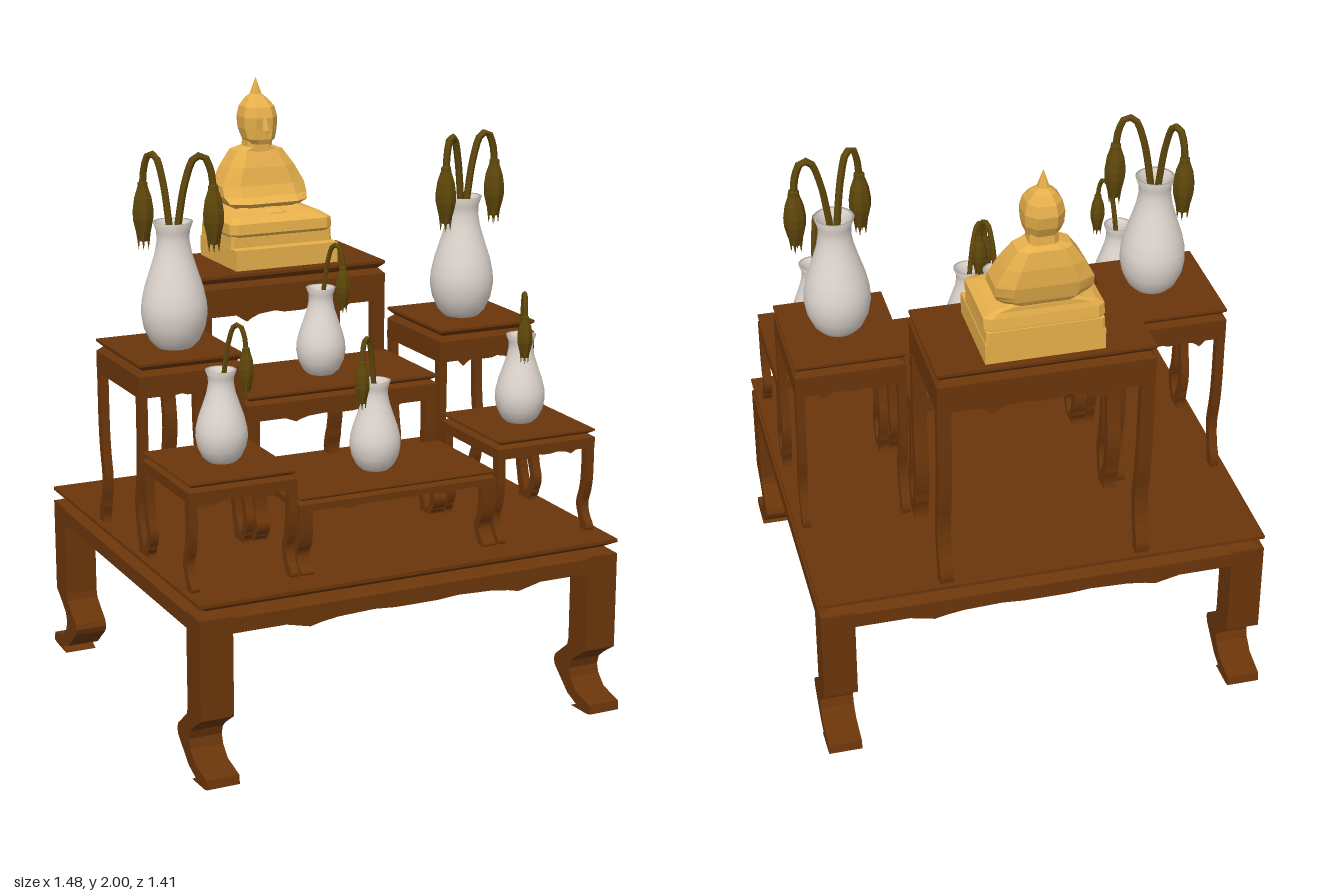
import * as THREE from 'three';

const mat = (color, flat = true, side = THREE.FrontSide) =>
  new THREE.MeshStandardMaterial({ color, flatShading: flat, side });
const WOOD = mat(0x6a350a);
const GOLD = mat(0xe6af4b);
const CHINA = mat(0xded5ce, false, THREE.DoubleSide);
const PLANT = mat(0x5e470a);

function add(parent, name, geo, material, x = 0, y = 0, z = 0) {
  const m = new THREE.Mesh(geo, material);
  m.name = name;
  m.position.set(x, y, z);
  parent.add(m);
  return m;
}

// Extrude a 2D outline, centred on its depth
function slab(points, depth) {
  const s = new THREE.Shape(points.map(([x, y]) => new THREE.Vector2(x, y)));
  const g = new THREE.ExtrudeGeometry(s, { depth, bevelEnabled: false });
  return g.translate(0, 0, -depth / 2);
}

// Box drawn in by t on every side of its lower (end = -1) or upper (end = 1) face
function taperedBox(w, h, d, t, end) {
  const g = new THREE.BoxGeometry(w, h, d);
  const p = g.attributes.position;
  for (let i = 0; i < p.count; i++) {
    if (p.getY(i) * end > 0) {
      p.setX(i, p.getX(i) - Math.sign(p.getX(i)) * t);
      p.setZ(i, p.getZ(i) - Math.sign(p.getZ(i)) * t);
    }
  }
  return g;
}

// Chamfered cross-sections [y, halfWidth, backZ, frontZ] joined upwards
function loft(sections, c = 0.6) {
  const ring = [[1, -c], [1, c], [c, 1], [-c, 1], [-1, c], [-1, -c], [-c, -1], [c, -1]];
  const first = sections[0], last = sections[sections.length - 1];
  const cap = ([y, , b, f]) => [y, 0, (b + f) / 2, (b + f) / 2];
  const pos = [], idx = [];
  const all = [cap(first), ...sections, cap(last)];
  all.forEach(([y, hx, b, f], r) => {
    ring.forEach(([u, v], i) => {
      pos.push(u * hx, y, (b + f) / 2 + v * (f - b) / 2);
      if (r === all.length - 1) return;
      const a = r * 8 + i, e = r * 8 + (i + 1) % 8;
      idx.push(a, a + 8, e, e, a + 8, e + 8);
    });
  });
  const g = new THREE.BufferGeometry();
  g.setAttribute('position', new THREE.Float32BufferAttribute(pos, 3));
  g.setIndex(idx);
  const flat = g.toNonIndexed();
  flat.computeVertexNormals();
  return flat;
}

// Heavy scroll leg: [inset from edge, y]
const HEAVY_LEG = [[0, 0.545], [0, 0.22], [0.06, 0.18], [0.09, 0.155], [0.1, 0.125], [0.09, 0.095], [0.055, 0.06],
  [-0.035, 0.04], [-0.04, 0.01], [-0.02, 0.005], [0.08, 0], [0.05, 0.015], [0.105, 0.035], [0.19, 0.105],
  [0.198, 0.125], [0.19, 0.145], [0.115, 0.205], [0.108, 0.23], [0.108, 0.545]];

// Slender leg of height h, S-curved low down and kicked out at the foot
function slenderLeg(h) {
  const path = [[0.018, 1], [0.02, 0.55], [0.03, 0.4], [0.043, 0.29], [0.04, 0.2], [0.023, 0.1], [0.011, 0.04], [0.014, 0]];
  const pts = new THREE.CatmullRomCurve3(path.map(([o, f]) => new THREE.Vector3(o, f * h, 0))).getPoints(18);
  const half = p => (p.y < h * 0.1 ? 0.02 : 0.016);
  return [...pts.map(p => [p.x - half(p), p.y]), ...pts.reverse().map(p => [p.x + half(p), p.y])];
}

function table(parent, name, { x = 0, z = 0, w, d, y0 = 0, y1, legW, taper = 0.018, waist = 0.02, profile }) {
  const g = new THREE.Group();
  g.name = name;
  g.position.set(x, y0, z);
  parent.add(g);
  // Thin top, pinched waist, then a shoulder flaring out to the apron
  const h = y1 - y0, lip = waist * 0.5, top = h - lip - 2 * waist;
  add(g, 'tabletop', new THREE.BoxGeometry(w, lip, d), WOOD, 0, h - lip / 2, 0);
  add(g, 'cove', taperedBox(w, waist, d, taper, -1), WOOD, 0, h - lip - waist / 2, 0);
  add(g, 'shoulder', taperedBox(w, waist, d, taper, 1), WOOD, 0, top + waist / 2, 0);

  // Scalloped aprons front and back, plain ones at the sides
  const low = h * 0.824, drop = h * 0.032, hw = w / 2, t = legW * 0.4;
  const wave = [[1, 0], [0.61, 0], [0.55, 0.55], [0.5, 1], [0.45, 0.55], [0.37, 0.1], [0.2, -0.15], [0.1, 0.15]];
  const edge = [...wave, ...wave.map(([u, v]) => [-u, v]).reverse()];
  const outline = [[-hw, top], [hw, top], ...edge.map(([u, v]) => [u * hw, low - v * drop])];
  for (const s of [-1, 1]) {
    add(g, 'scallopedApron', slab(outline, t), WOOD, 0, 0, s * (d / 2 - t / 2));
    add(g, 'sideApron', new THREE.BoxGeometry(t, top - low, d), WOOD, s * (hw - t / 2), (top + low) / 2, 0);
  }

  // Four legs, mirrored
  const leg = profile || slenderLeg(top);
  for (const sz of [-1, 1]) {
    const geo = slab(leg.map(([o, y]) => [sz * (d / 2 - o), y]), legW).rotateY(-Math.PI / 2);
    for (const sx of [-1, 1]) add(g, 'leg', geo, WOOD, sx * (w / 2 - legW / 2), 0, 0);
  }
}

// Vase of height scale s and girth scale r, with drooping buds at the given offsets
function vase(parent, x, y, z, s, r, buds) {
  const g = new THREE.Group();
  g.name = 'vase';
  g.position.set(x, y, z);
  parent.add(g);
  const outer = [[0.058, 0], [0.08, 0.022], [0.1, 0.065], [0.108, 0.11], [0.106, 0.15], [0.095, 0.2], [0.077, 0.255],
    [0.06, 0.31], [0.053, 0.35], [0.054, 0.38], [0.065, 0.412]];
  const inner = [[0.054, 0.41], [0.042, 0.37], [0.044, 0.32], [0.06, 0.27], [0, 0.25]];
  const prof = [[0, 0], ...outer, ...inner].map(([u, v]) => new THREE.Vector2(u * r, v * s));
  add(g, 'vaseBody', new THREE.LatheGeometry(prof, 28), CHINA);

  const budProf = [[0, -0.195], [0.016, -0.19], [0.027, -0.155], [0.035, -0.12], [0.036, -0.09], [0.03, -0.05],
    [0.018, -0.015], [0.017, 0], [0, 0.008]].map(([u, v]) => new THREE.Vector2(u * s, v * s));
  for (const [bx, bz] of buds) {
    const path = [[0, 0.26], [0.15, 0.42], [0.32, 0.54], [0.55, 0.615], [0.77, 0.62], [0.94, 0.575], [1, 0.515]]
      .map(([f, v]) => new THREE.Vector3(bx * f, v * s, bz * f));
    add(g, 'stem', new THREE.TubeGeometry(new THREE.CatmullRomCurve3(path), 20, 0.012 * s, 6), PLANT);
    add(g, 'bud', new THREE.LatheGeometry(budProf, 8), PLANT, bx, 0.525 * s, bz);
    // Pointed sepals around the tip
    for (let i = 0; i < 4; i++) {
      const a = i * Math.PI / 2 + 0.4;
      const cone = new THREE.ConeGeometry(0.013 * s, 0.09 * s, 4).rotateX(Math.PI);
      add(g, 'sepal', cone, PLANT, bx + Math.cos(a) * 0.016 * s, 0.35 * s, bz + Math.sin(a) * 0.016 * s);
    }
  }
}

function seatedFigure(parent) {
  const g = new THREE.Group();
  g.name = 'seatedFigure';
  parent.add(g);
  add(g, 'plinth', new THREE.BoxGeometry(0.38, 0.07, 0.315), GOLD, 0, 1.42, -0.462);
  add(g, 'plinthStep', loft([[1.45, 0.188, -0.62, -0.348], [1.495, 0.186, -0.62, -0.35]], 0.96), GOLD);
  add(g, 'crossedLegs', loft([[1.49, 0.186, -0.615, -0.35], [1.5, 0.19, -0.615, -0.342], [1.535, 0.19, -0.61, -0.345],
    [1.552, 0.165, -0.605, -0.375], [1.565, 0.12, -0.605, -0.43], [1.58, 0.09, -0.6, -0.46]], 0.88), GOLD);
  add(g, 'hands', loft([[1.545, 0.045, -0.46, -0.385], [1.56, 0.04, -0.46, -0.39], [1.572, 0.02, -0.46, -0.41]]), GOLD);
  add(g, 'torso', loft([[1.56, 0.11, -0.6, -0.45], [1.585, 0.145, -0.615, -0.425], [1.605, 0.155, -0.62, -0.455],
    [1.64, 0.154, -0.628, -0.475], [1.7, 0.122, -0.628, -0.49], [1.755, 0.085, -0.618, -0.515],
    [1.768, 0.05, -0.605, -0.515]], 0.65), GOLD);
  add(g, 'neck', loft([[1.75, 0.047, -0.605, -0.513], [1.8, 0.044, -0.6, -0.515]]), GOLD);
  add(g, 'head', loft([[1.778, 0.034, -0.58, -0.497], [1.795, 0.051, -0.6, -0.49], [1.83, 0.06, -0.618, -0.49],
    [1.87, 0.062, -0.625, -0.487], [1.905, 0.054, -0.617, -0.498], [1.932, 0.034, -0.6, -0.53],
    [1.946, 0.018, -0.582, -0.548], [1.965, 0.012, -0.577, -0.553], [2.0, 0.001, -0.566, -0.564]], 0.5), GOLD);
  add(g, 'nose', loft([[1.818, 0.013, -0.51, -0.468], [1.828, 0.012, -0.51, -0.466],
    [1.872, 0.006, -0.51, -0.483]]), GOLD);
}

export function createModel() {
  const model = new THREE.Group();
  model.name = 'altarTables';
  table(model, 'baseTable',
    { w: 1.48, d: 1.335, y1: 0.595, legW: 0.11, taper: 0.038, waist: 0.022, profile: HEAVY_LEG });

  // Centre row, stepping up towards the back
  const y0 = 0.593;
  for (const [name, z, y1, waist] of [['frontCentreTable', 0.35, 0.845, 0.009],
    ['middleCentreTable', -0.055, 1.07, 0.012], ['backCentreTable', -0.45, 1.385, 0.018]]) {
    table(model, name, { z, w: 0.695, d: 0.39, y0, y1, legW: 0.045, waist });
  }
  // Side pairs
  for (const x of [-0.537, 0.537]) {
    const side = { x, w: 0.362, d: 0.39, y0, legW: 0.028 };
    table(model, 'frontSideTable', { ...side, z: 0.35, y1: 0.94, waist: 0.011 });
    table(model, 'backSideTable', { ...side, z: -0.055, y1: 1.22, waist: 0.016 });
  }

  vase(model, -0.522, 1.22, -0.043, 1, 1, [[-0.06, -0.107], [0.125, 0.04]]);
  vase(model, 0.535, 1.22, -0.045, 1, 1, [[-0.095, 0.055], [0.125, -0.008]]);
  vase(model, -0.526, 0.94, 0.348, 0.715, 0.765, [[0.051, 0.08]]);
  vase(model, 0.545, 0.94, 0.348, 0.715, 0.765, [[-0.035, 0.085]]);
  vase(model, 0.006, 1.07, -0.052, 0.715, 0.765, [[0.04, 0.085]]);
  vase(model, 0.01, 0.845, 0.348, 0.715, 0.765, [[-0.075, 0.055]]);
  seatedFigure(model);
  return model;
}
